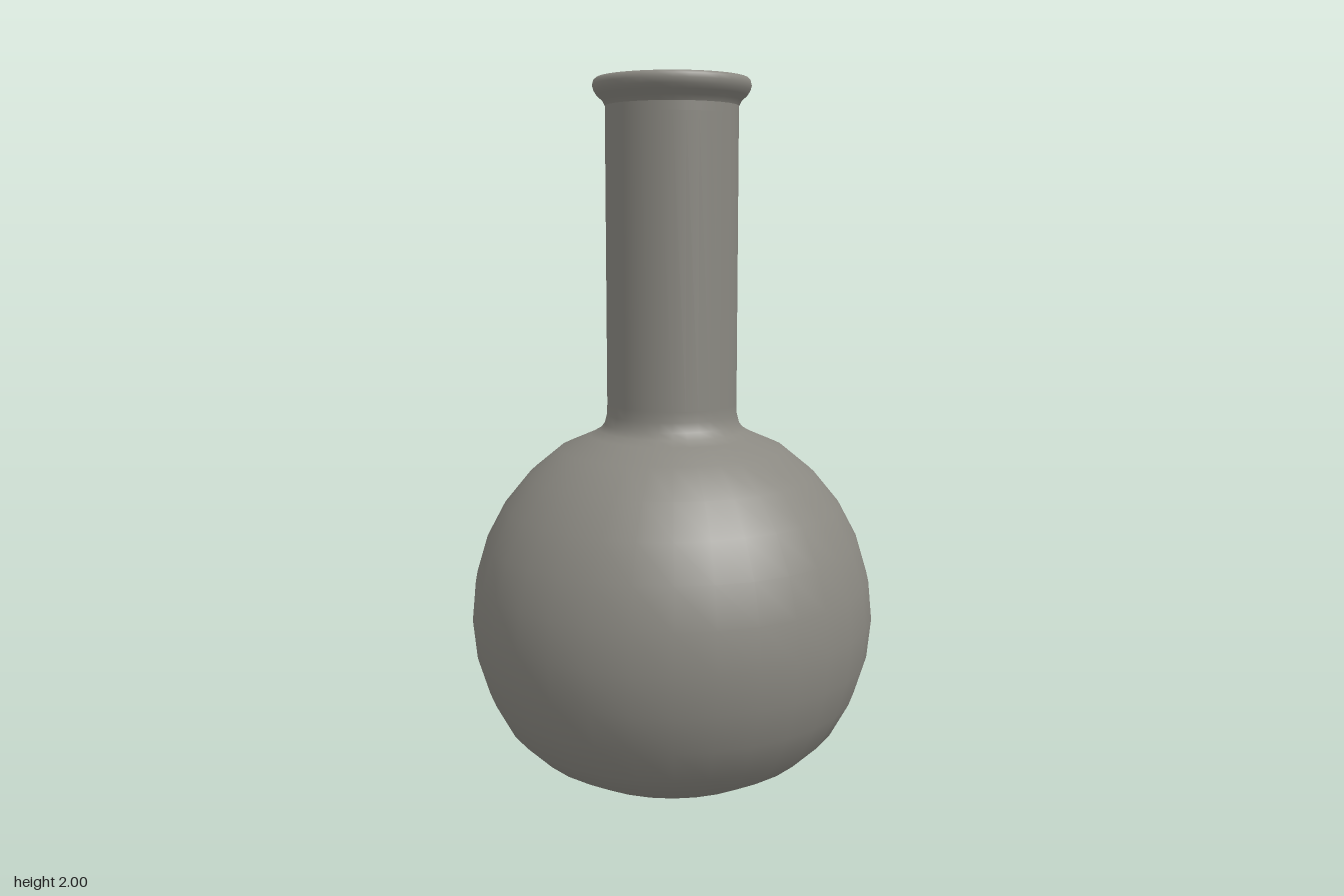
import * as THREE from 'three';

const SEGMENTS = 32;
const RADIUS = 0.58;
const CENTRE_Y = 0.49;
const WALL = 0.014;

// Bulb rings from the flattened base up to the neck, as [radius, height]
function bulbRings(inset) {
  const rings = [[0, 0], [0.11, 0.004], [0.21, 0.013], [0.317, 0.043], [0.408, 0.095]]
    .map(([r, y]) => [r * (1 - inset / RADIUS), y + inset]);
  for (let i = -3; i <= 5; i++) {
    const a = i * Math.PI / 16;
    rings.push([(RADIUS - inset) * Math.cos(a), CENTRE_Y + (RADIUS - inset) * Math.sin(a)]);
  }
  return rings;
}

function lathe(name, points, material) {
  const geometry = new THREE.LatheGeometry(points.map(([r, y]) => new THREE.Vector2(r, y)), SEGMENTS);
  const mesh = new THREE.Mesh(geometry, material);
  mesh.name = name;
  return mesh;
}

export function createModel() {
  const group = new THREE.Group();
  group.name = 'roundFlask';
  const material = new THREE.MeshStandardMaterial({ color: 0x8a8881 });

  // Outer bulb, curved shoulder and straight neck
  const outer = [
    ...bulbRings(0),
    [0.235, 1.01], [0.208, 1.025], [0.193, 1.043], [0.186, 1.07],
    [0.185, 1.1], [0.185, 1.9], [0.185, 1.925],
  ];

  // Flared lip: outer bead and rounded top
  const lip = [
    [0.185, 1.925], [0.192, 1.939], [0.207, 1.952], [0.216, 1.966], [0.22, 1.98],
    [0.217, 1.992], [0.209, 1.999], [0.2, 2], [0.192, 1.995], [0.187, 1.983],
  ];

  // Hollow inside, tapering down the neck and opening into the bulb
  const inner = [
    [0.187, 1.983], [0.183, 1.95], [0.176, 1.9], [0.168, 1.78], [0.162, 1.6],
    [0.159, 1.4], [0.159, 1.07], [0.165, 1.035], [0.18, 1.012], [0.21, 0.995],
    ...bulbRings(WALL).reverse(),
  ];

  group.add(
    lathe('bulbAndNeck', outer, material),
    lathe('lip', lip, material),
    lathe('innerWall', inner, material),
  );
  return group;
}
